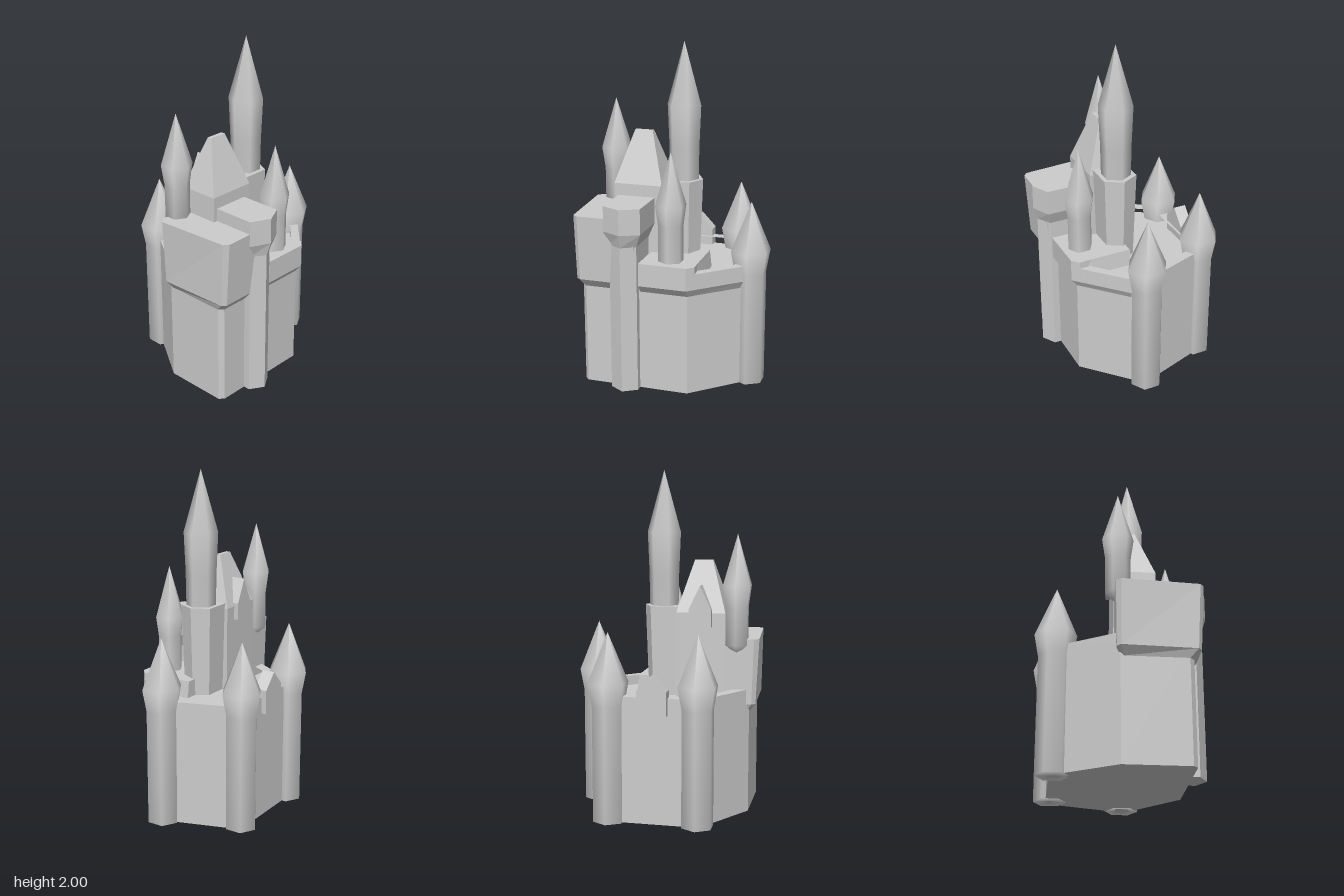
import * as THREE from 'three';

const stone = new THREE.MeshStandardMaterial({ color: 0xcccccc });
stone.name = 'lightGreyStone';

export function createModel() {
  const castle = new THREE.Group();
  castle.name = 'castle';

  function add(name, geometry, x = 0, y = 0, z = 0) {
    const mesh = new THREE.Mesh(geometry, stone);
    mesh.name = name;
    mesh.position.set(x, y, z);
    castle.add(mesh);
    return mesh;
  }

  // Flat-faced solid through plan outlines [x, z] stacked at rising heights
  function loft(sections) {
    const rings = sections.map(([y, plan]) => {
      const flat = plan.map(([x, z]) => new THREE.Vector2(x, -z));
      if (THREE.ShapeUtils.area(flat) < 0) flat.reverse();
      return { y, flat };
    });
    const pos = [];
    const put = (ring, i) => pos.push(ring.flat[i].x, ring.y, -ring.flat[i].y);
    const n = rings[0].flat.length;
    for (let k = 0; k < rings.length - 1; k++) {
      const a = rings[k], b = rings[k + 1];
      for (let i = 0; i < n; i++) {
        const j = (i + 1) % n;
        put(a, i); put(a, j); put(b, j);
        put(a, i); put(b, j); put(b, i);
      }
    }
    const bottom = rings[0], top = rings[rings.length - 1];
    for (const [a, b, c] of THREE.ShapeUtils.triangulateShape(top.flat, [])) {
      put(top, a); put(top, b); put(top, c);
    }
    for (const [a, b, c] of THREE.ShapeUtils.triangulateShape(bottom.flat, [])) {
      put(bottom, a); put(bottom, c); put(bottom, b);
    }
    const g = new THREE.BufferGeometry();
    g.setAttribute('position', new THREE.Float32BufferAttribute(pos, 3));
    g.computeVertexNormals();
    return g;
  }

  // Six-sided smooth tower from [radius, height] pairs
  function tower(name, x, z, profile, phi = 0) {
    const pts = profile.map(([r, y]) => new THREE.Vector2(r, y));
    add(name, new THREE.LatheGeometry(pts, 6, phi), x, 0, z);
  }

  // Small house-shaped gable running along z
  function gable(name, x, halfWidth, y0, eave, apex, z0, z1) {
    const s = new THREE.Shape();
    s.moveTo(-halfWidth, y0);
    s.lineTo(halfWidth, y0);
    s.lineTo(halfWidth, eave);
    s.lineTo(0, apex);
    s.lineTo(-halfWidth, eave);
    s.closePath();
    add(name, new THREE.ExtrudeGeometry(s, { depth: z1 - z0, bevelEnabled: false }), x, 0, z0);
  }

  const rect = (x0, x1, z0, z1) => [[x0, z0], [x1, z0], [x1, z1], [x0, z1]];

  // Curtain wall: solid base, then a parapet around a sunken courtyard
  const plan = [[-0.26, -0.39], [0.31, -0.39], [0.45, 0.03], [0.43, 0.11], [0.15, 0.37],
    [-0.465, 0.37], [-0.49, 0.345], [-0.49, -0.03]];
  add('wallBase', loft([[0, plan], [0.68, plan]]));
  const inner = [[-0.235, -0.33], [0.275, -0.33], [0.385, 0.03], [0.36, 0.145], [0.19, 0.3],
    [-0.3, 0.3], [-0.41, -0.03]];
  const toShape = (p) => p.map(([x, z]) => new THREE.Vector2(x, -z));
  const ring = new THREE.Shape(toShape(plan));
  ring.holes.push(new THREE.Path(toShape(inner)));
  const parapet = new THREE.ExtrudeGeometry(ring, { depth: 0.057, bevelEnabled: false });
  add('parapet', parapet.rotateX(-Math.PI / 2), 0, 0.68, 0);

  // Flared battlements on the front and the front corner
  const flare = [[0.152, 0.405], [0.42, 0.153], [0.38, 0.13], [0.18, 0.31]];
  add('cornerBattlement', loft([
    [0.6, [[0.15, 0.37], [0.4, 0.138], [0.38, 0.13], [0.18, 0.31]]],
    [0.645, flare], [0.738, flare],
  ]));
  add('frontPlatform', loft([
    [0.6, [[-0.13, 0.37], [0.15, 0.37], [0.18, 0.342], [0.18, 0.29], [0.18, 0.047], [-0.13, 0.047]]],
    [0.645, [[-0.13, 0.405], [0.152, 0.405], [0.193, 0.367], [0.205, 0.29], [0.205, 0.047], [-0.13, 0.047]]],
    [0.78, [[-0.13, 0.405], [0.152, 0.405], [0.193, 0.367], [0.19, 0.29], [0.19, 0.047], [-0.13, 0.047]]],
  ]));

  // Overhanging side block
  add('sideBlock', loft([
    [0.6, [[-0.49, -0.01], [-0.47, -0.03], [-0.15, -0.03], [-0.15, 0.37], [-0.465, 0.37], [-0.49, 0.345]]],
    [0.65, [[-0.527, -0.03], [-0.505, -0.052], [-0.15, -0.052], [-0.15, 0.41], [-0.485, 0.41], [-0.51, 0.39]]],
    [1.035, [[-0.545, -0.03], [-0.517, -0.058], [-0.15, -0.058], [-0.15, 0.432], [-0.487, 0.432], [-0.515, 0.41]]],
  ]));

  // Front bastion with a widened head
  const shaft = [[-0.3, 0.2], [-0.137, 0.2], [-0.137, 0.41], [-0.218, 0.46], [-0.3, 0.41]];
  const head = [[-0.325, 0.18], [-0.105, 0.18], [-0.105, 0.432], [-0.213, 0.485], [-0.325, 0.432]];
  add('frontBastion', loft([[0, shaft], [0.88, shaft], [0.96, head], [1.11, head]]));

  // Keep with a hipped roof and a rear dormer
  const keep = rect(-0.35, -0.06, -0.058, 0.183);
  add('keep', loft([[0.6, keep], [1.18, keep]]));
  add('keepRoof', loft([[1.18, keep], [1.48, rect(-0.257, -0.15, 0.05, 0.076)]]));
  gable('roofDormer', -0.204, 0.067, 1.1, 1.2, 1.34, -0.085, 0.02);

  // Gable on the back wall
  gable('wallGable', 0.007, 0.086, 0.64, 0.78, 0.87, -0.42, -0.345);

  // Great tower rising from its base beside the keep
  add('greatTowerBase', loft([
    [0.66, [[-0.07, 0.145], [0.085, 0.145], [0.13, 0.06], [0.085, -0.025], [-0.07, -0.025]]],
    [1.21, [[-0.07, 0.162], [0.098, 0.162], [0.15, 0.06], [0.098, -0.04], [-0.07, -0.04]]],
  ]));
  tower('greatTower', 0.037, 0.062,
    [[0.086, 1.15], [0.09, 1.4], [0.1, 1.64], [0, 2]], Math.PI / 6);

  // Corner towers
  for (const [x, z] of [[-0.248, -0.37], [0.27, -0.365], [0.44, 0.06]]) {
    tower('cornerTower', x, z, [[0, 0], [0.096, 0], [0.096, 0.68], [0.12, 0.81], [0, 1.1]]);
  }

  // Slim turrets: one corbelled from the side block, one on the front platform
  tower('sideTurret', -0.415, -0.038,
    [[0, 0.94], [0.072, 1.0], [0.072, 1.22], [0.09, 1.345], [0, 1.64]]);
  tower('frontTurret', 0.03, 0.294,
    [[0.074, 0.76], [0.074, 0.99], [0.09, 1.11], [0, 1.415]]);

  return castle;
}
